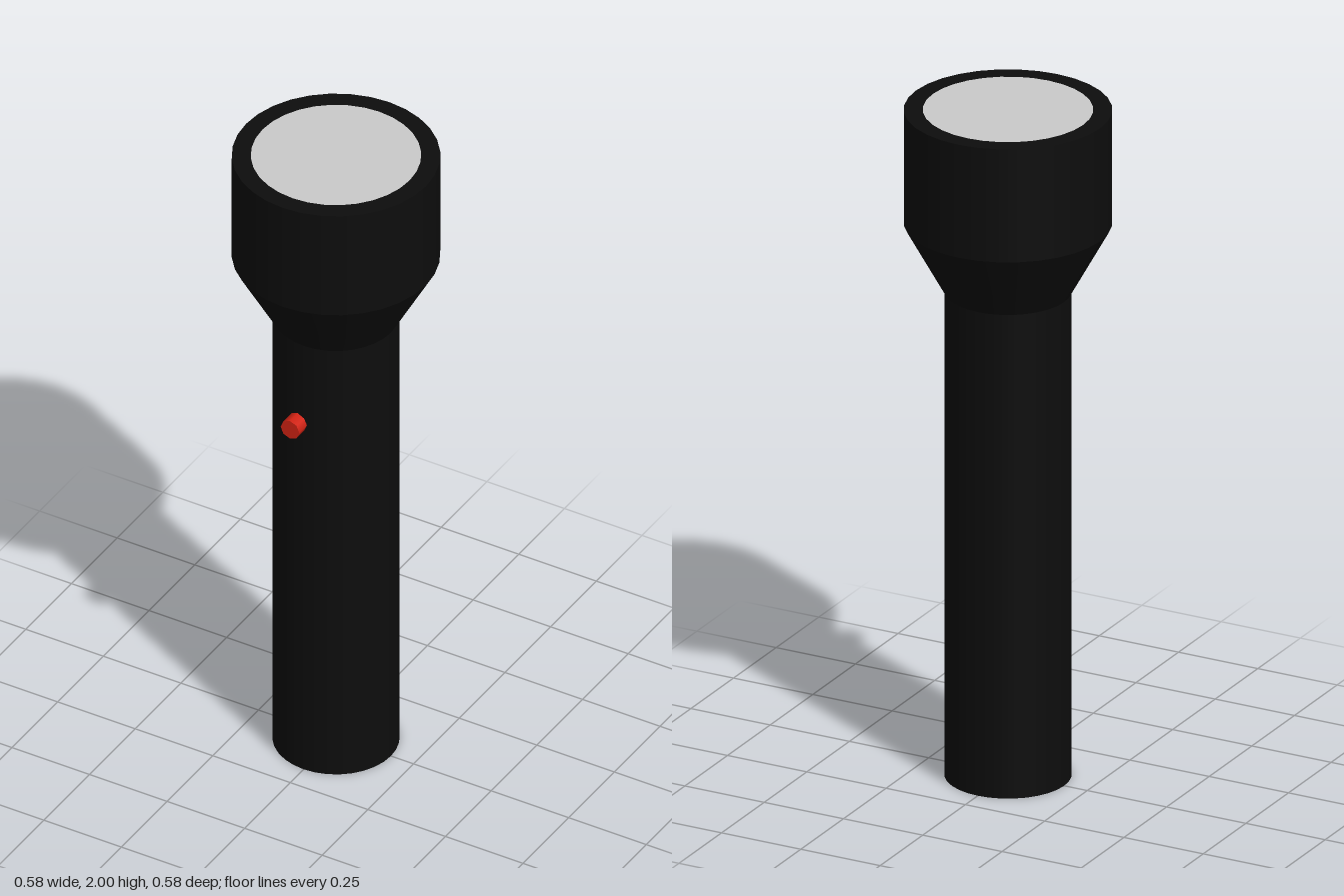
import * as THREE from 'three';

const SIDES = 32;
const BODY_R = 0.177, HEAD_R = 0.29, LENS_R = 0.237;

export function createModel() {
  const model = new THREE.Group();
  model.name = 'flashlight';

  const material = (name, color) => {
    const m = new THREE.MeshStandardMaterial({ color });
    m.name = name;
    return m;
  };
  const black = material('black casing', 0x0d0d0d);
  const lensGrey = material('pale lens', 0xcacaca);
  const red = material('red button', 0xd42314);

  const add = (name, geometry, mat) => {
    const mesh = new THREE.Mesh(geometry, mat);
    mesh.name = name;
    model.add(mesh);
    return mesh;
  };
  // Open-ended round section between two heights
  const section = (name, r0, r1, y0, y1) => {
    const geometry = new THREE.CylinderGeometry(r1, r0, y1 - y0, SIDES, 1, true);
    add(name, geometry, black).position.y = (y0 + y1) / 2;
  };

  // Casing: handle, flared neck and head
  section('handle', BODY_R, BODY_R, 0, 1.455);
  section('neck', BODY_R, HEAD_R, 1.455, 1.66);
  section('head', HEAD_R, HEAD_R, 1.66, 2);

  // Closed bottom end
  add('endCap', new THREE.CircleGeometry(BODY_R, SIDES).rotateX(Math.PI / 2), black);

  // Rim and lens, flush with the top
  add('rim', new THREE.RingGeometry(LENS_R, HEAD_R, SIDES).rotateX(-Math.PI / 2), black).position.y = 2;
  add('lens', new THREE.CircleGeometry(LENS_R, SIDES).rotateX(-Math.PI / 2), lensGrey).position.y = 2;

  // Switch button on the front of the handle
  const button = new THREE.CylinderGeometry(0.03, 0.03, 0.06, 8).rotateX(Math.PI / 2);
  add('button', button, red).position.set(-0.02, 1.185, 0.188);

  return model;
}
